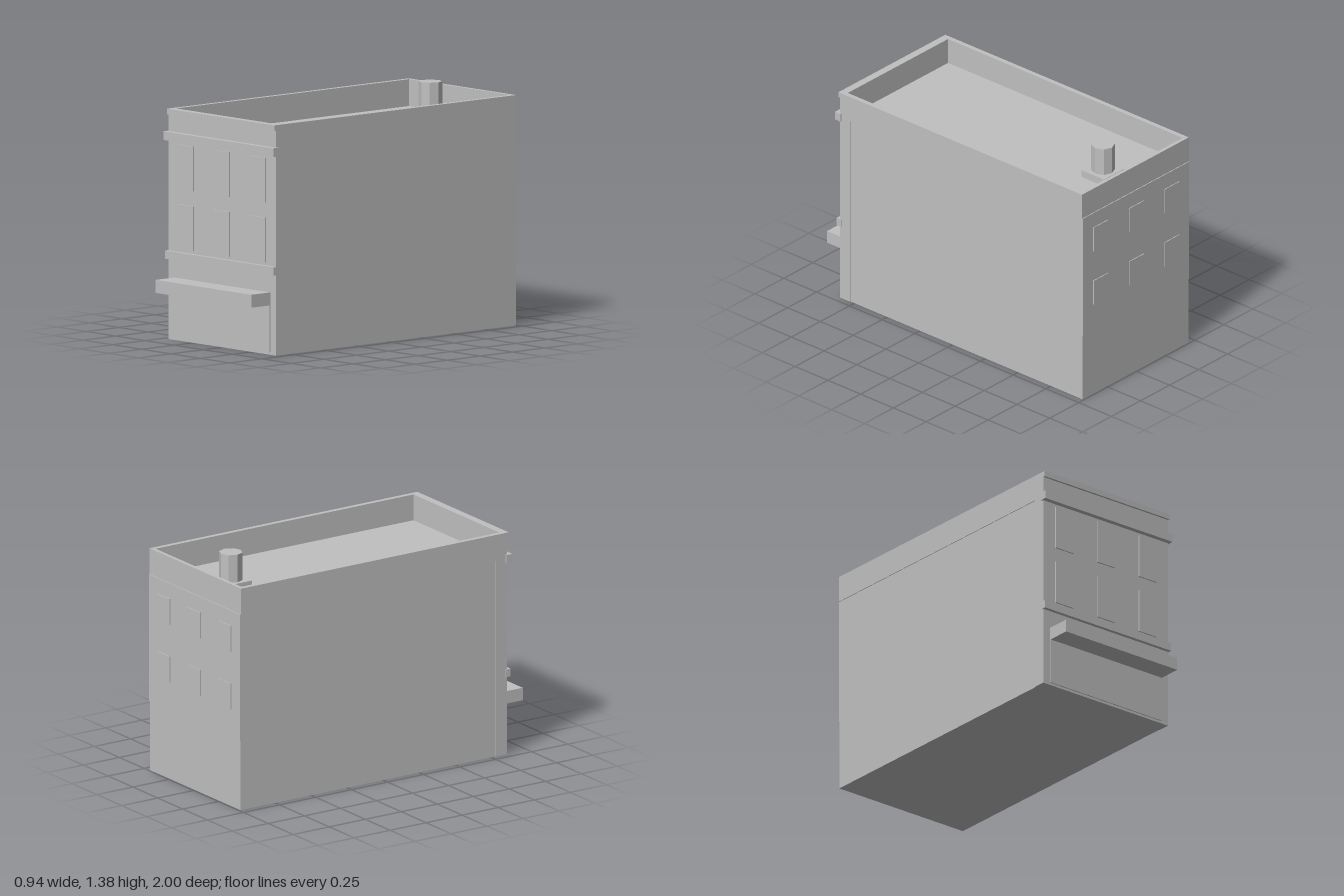
import * as THREE from 'three';

export function createModel() {
  const model = new THREE.Group();
  model.name = 'shopBuilding';
  const stone = new THREE.MeshStandardMaterial({ color: 0xc0c0c0, flatShading: true });
  stone.name = 'plain grey';

  // box given by its limits on each axis
  function block(name, x0, x1, y0, y1, z0, z1) {
    const mesh = new THREE.Mesh(new THREE.BoxGeometry(x1 - x0, y1 - y0, z1 - z0), stone);
    mesh.position.set((x0 + x1) / 2, (y0 + y1) / 2, (z0 + z1) / 2);
    mesh.name = name;
    model.add(mesh);
  }

  const roofY = 1.175, topY = 1.33, back = -0.99, front = 0.855;

  // walls, slightly recessed behind the street facade and the parapet
  block('mainWalls', -0.456, 0.456, 0, roofY, back, 0.78);
  block('frontFacade', -0.46, 0.46, 0, roofY, 0.78, front);
  block('upperBackWall', -0.456, 0.456, 0.415, roofY, -0.995, back);

  // parapet ring around the sunken flat roof
  const ring = new THREE.Shape([
    new THREE.Vector2(-0.46, -front), new THREE.Vector2(0.46, -front),
    new THREE.Vector2(0.46, -back), new THREE.Vector2(-0.46, -back),
  ]);
  ring.holes.push(new THREE.Path([
    new THREE.Vector2(-0.432, -0.822), new THREE.Vector2(-0.432, 0.967),
    new THREE.Vector2(0.432, 0.967), new THREE.Vector2(0.432, -0.822),
  ]));
  const parapetGeometry = new THREE.ExtrudeGeometry(ring, { depth: topY - roofY, bevelEnabled: false });
  parapetGeometry.rotateX(-Math.PI / 2);
  const parapet = new THREE.Mesh(parapetGeometry, stone);
  parapet.position.y = roofY;
  parapet.name = 'parapet';
  model.add(parapet);
  block('parapetLip', -0.46, 0.46, 1.297, topY, front, 0.868);

  // facade mouldings, shopfront and awning
  block('upperCornice', -0.47, 0.47, 1.15, 1.2, 0.845, 0.886);
  block('lowerCornice', -0.465, 0.465, 0.465, 0.512, 0.845, 0.878);
  block('shopfront', -0.41, 0.41, 0.015, 0.29, front, 0.861);
  block('awning', -0.41, 0.41, 0.285, 0.36, front, 1);

  // windows in two rows of three, front and back
  for (const x of [-0.307, 0, 0.307]) {
    for (const y of [0.53, 0.875]) block('frontWindow', x - 0.065, x + 0.065, y, y + 0.258, front, 0.863);
    for (const y of [0.583, 0.928]) block('backWindow', x - 0.063, x + 0.063, y, y + 0.155, -1, -0.995);
  }

  // roof vent on a square base
  block('ventBase', -0.088, 0.088, roofY, 1.22, -0.83, -0.657);
  const vent = new THREE.Mesh(new THREE.CylinderGeometry(0.068, 0.068, 0.165, 8), stone);
  vent.position.set(0, 1.3025, -0.743);
  vent.name = 'roofVent';
  model.add(vent);

  return model;
}
